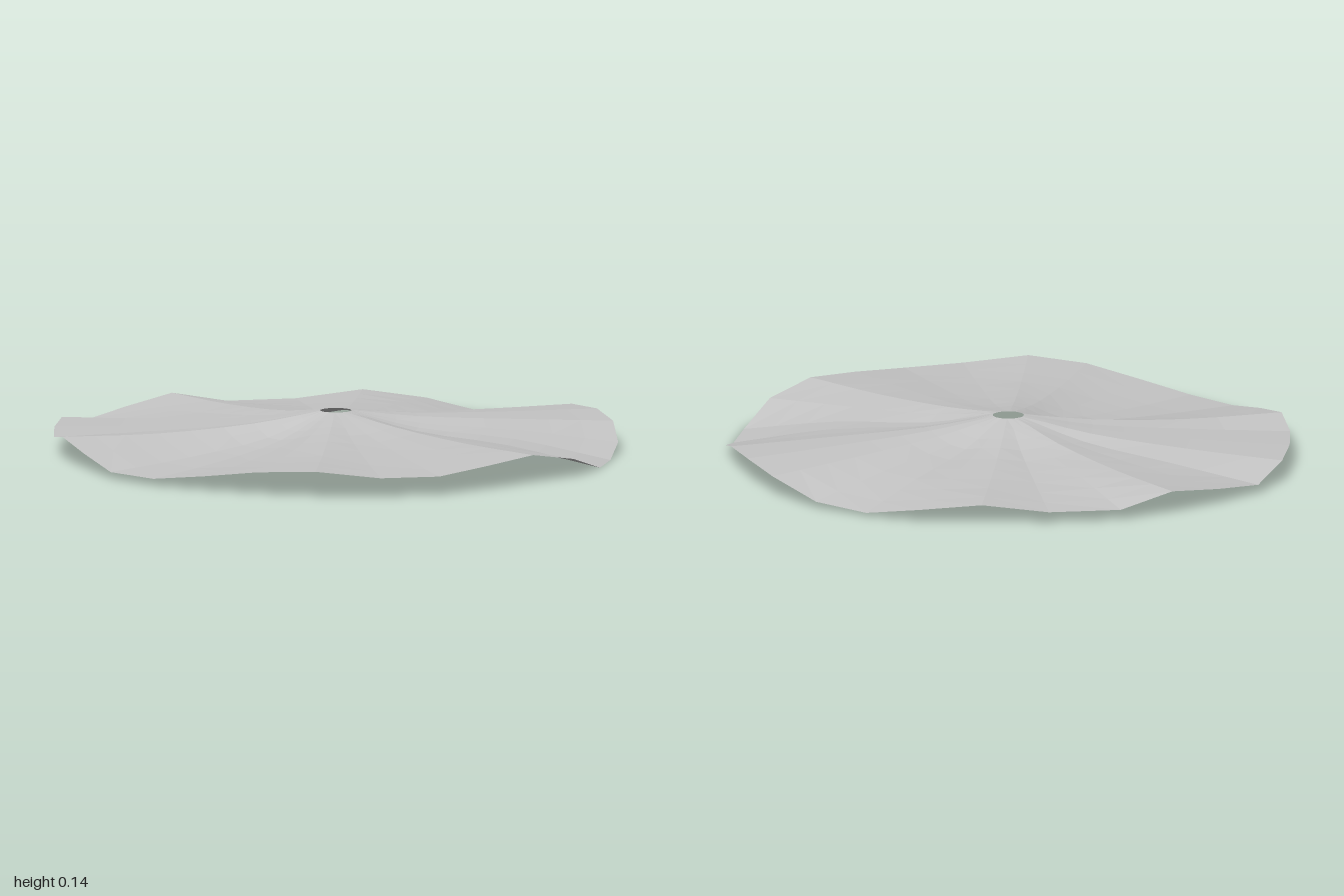
import * as THREE from 'three';

// One entry per spoke: rim x, rim z, rim height, mid-spoke height
const SPOKES = [
  [1.0, 0.02, 0.022, 0.065], [0.98, 0.23, 0.075, 0.09], [0.88, 0.425, 0.089, 0.1],
  [0.75, 0.605, 0.079, 0.095], [0.61, 0.745, 0.035, 0.075], [0.455, 0.84, 0, 0.063],
  [0.285, 0.935, 0.002, 0.06], [0.075, 0.995, 0.062, 0.08], [-0.13, 0.985, 0.098, 0.1],
  [-0.335, 0.96, 0.083, 0.093], [-0.545, 0.915, 0.065, 0.082], [-0.72, 0.8, 0.068, 0.08],
  [-0.87, 0.635, 0.092, 0.09], [-0.945, 0.44, 0.08, 0.08], [-0.98, 0.23, 0.05, 0.055],
  [-1.0, 0.025, 0.024, 0.04], [-0.975, -0.185, 0.024, 0.042], [-0.89, -0.375, 0.06, 0.065],
  [-0.795, -0.55, 0.09, 0.088], [-0.685, -0.68, 0.064, 0.08], [-0.52, -0.815, 0.068, 0.08],
  [-0.33, -0.94, 0.068, 0.08], [-0.13, -1.0, 0.029, 0.06], [0.075, -0.995, 0.052, 0.068],
  [0.285, -0.965, 0.078, 0.082], [0.47, -0.89, 0.036, 0.07], [0.66, -0.73, 0.038, 0.06],
  [0.82, -0.565, 0.067, 0.075], [0.935, -0.38, 0.043, 0.07], [0.98, -0.185, 0.011, 0.055],
];
const HOLE_RADIUS = 0.053;
const HOLE_HEIGHT = 0.143;
const RINGS = 9;

// Each spoke runs from the raised hole edge down to the wavy rim
function spokeCurve([x, z, rimY, midY]) {
  const rim = Math.hypot(x, z);
  const at = (r, y) => new THREE.Vector3((x / rim) * r, y, (z / rim) * r);
  return new THREE.CatmullRomCurve3([
    at(HOLE_RADIUS, HOLE_HEIGHT),
    at(0.3 * rim, 0.1 + 0.7 * (midY - 0.075)),
    at(0.65 * rim, midY),
    at(rim, rimY),
  ]);
}

// Skin neighbouring spokes with an open ring of quads
function wavyDisc() {
  const positions = [];
  const index = [];
  const row = RINGS + 1;
  SPOKES.forEach((spoke, i) => {
    for (const p of spokeCurve(spoke).getPoints(RINGS)) positions.push(p.x, p.y, p.z);
    const next = (i + 1) % SPOKES.length;
    for (let j = 0; j < RINGS; j++) {
      const a = i * row + j;
      const b = next * row + j;
      index.push(a, b, a + 1, b, b + 1, a + 1);
    }
  });
  const geometry = new THREE.BufferGeometry();
  geometry.setAttribute('position', new THREE.Float32BufferAttribute(positions, 3));
  geometry.setIndex(index);
  geometry.computeVertexNormals();
  return geometry;
}

export function createModel() {
  const group = new THREE.Group();
  group.name = 'wavyDiscModel';
  const grey = new THREE.MeshStandardMaterial({
    color: 0xc4c4c4, flatShading: true, side: THREE.DoubleSide,
  });
  grey.name = 'light grey';
  const disc = new THREE.Mesh(wavyDisc(), grey);
  disc.name = 'wavyDisc';
  group.add(disc);
  return group;
}
